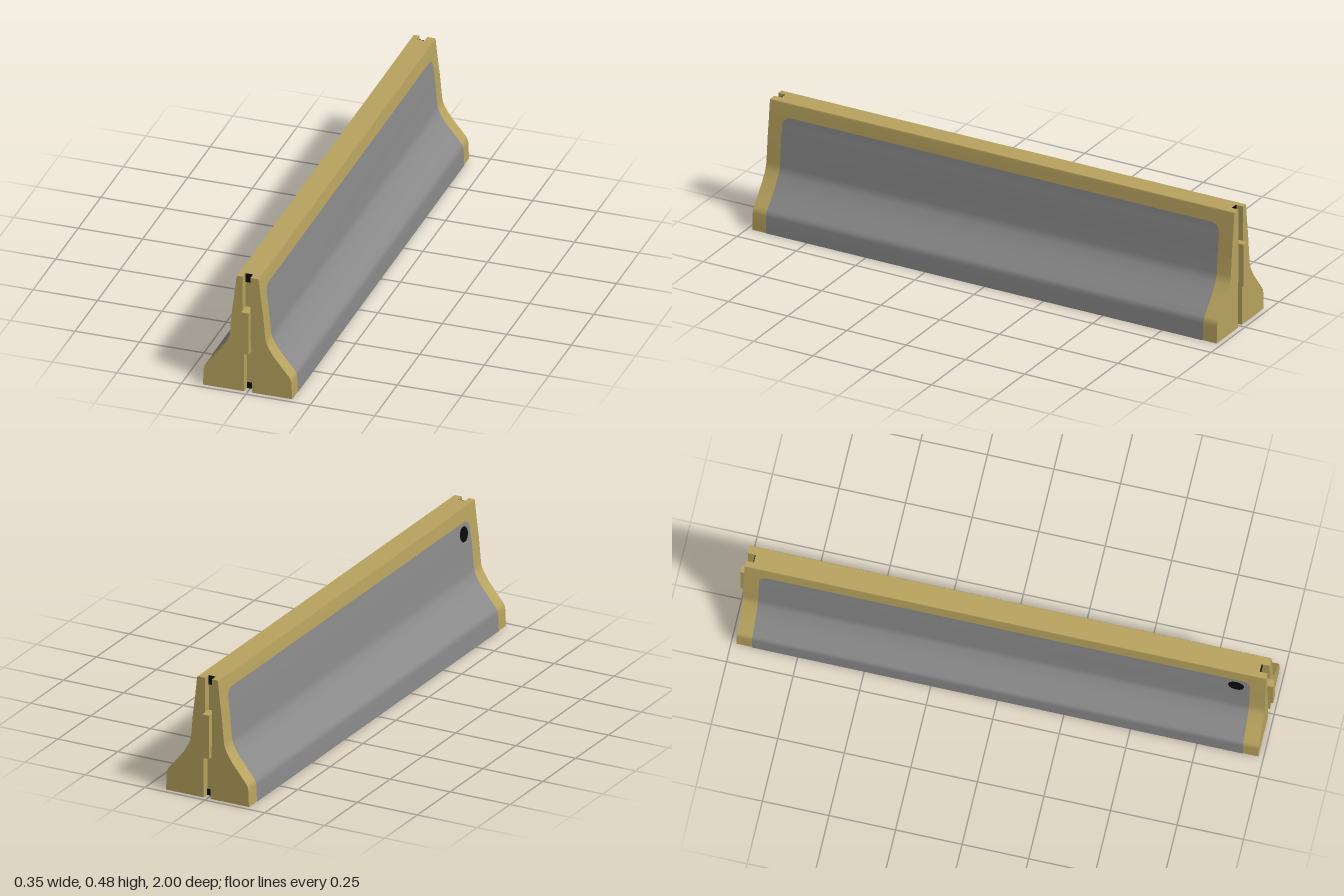
import * as THREE from 'three';

const concrete = new THREE.MeshStandardMaterial({ color: 0xb8a35e });
concrete.name = 'sand concrete';
const grey = new THREE.MeshStandardMaterial({ color: 0x8a8a8a });
grey.name = 'grey face';
const black = new THREE.MeshStandardMaterial({ color: 0x0a0a0a });
black.name = 'black underside';

const END = 0.98;      // half length of the body
const SLOT = 0.015;    // half width of the end slots
const SLOT_Z = 0.95;   // where the slots stop

// half width and slot centre at each height
const PROFILE = [
  [0, 0.173, 0.002], [0.066, 0.17, 0.002], [0.08, 0.167, 0.002], [0.09, 0.161, 0.002],
  [0.125, 0.132, 0.002], [0.165, 0.1, 0.001], [0.198, 0.08, -0.002], [0.212, 0.074, -0.003],
  [0.23, 0.069, -0.003], [0.33, 0.06, -0.004], [0.4, 0.051, -0.004], [0.47, 0.0435, -0.004],
  [0.476, 0.041, -0.004],
];

function halfWidth(y) {
  for (let i = 1; i < PROFILE.length; i++) {
    const [y0, w0] = PROFILE[i - 1], [y1, w1] = PROFILE[i];
    if (y <= y1) return w0 + (w1 - w0) * (y - y0) / (y1 - y0);
  }
  return PROFILE[PROFILE.length - 1][1];
}

// plan outline at one height
function outline([, w, c]) {
  const a = c - SLOT, b = c + SLOT;
  return [
    [w, END], [w, -END], [b, -END], [b, -SLOT_Z], [a, -SLOT_Z], [a, -END],
    [-w, -END], [-w, END], [a, END], [a, SLOT_Z], [b, SLOT_Z], [b, END],
  ];
}

// strip rising through pairs of points, smooth along its height
function strip(pairs) {
  const index = [];
  for (let i = 0; i < pairs.length - 1; i++) {
    const k = i * 2;
    index.push(k, k + 1, k + 3, k, k + 3, k + 2);
  }
  const g = new THREE.BufferGeometry();
  g.setAttribute('position', new THREE.Float32BufferAttribute(pairs.flat(2), 3));
  g.setIndex(index);
  g.computeVertexNormals();
  return g;
}

function add(parent, name, geometry, material) {
  const mesh = new THREE.Mesh(geometry, material);
  mesh.name = name;
  parent.add(mesh);
  return mesh;
}

function cap(row, up) {
  const pts = outline(row).map(([x, z]) => new THREE.Vector2(x, up ? -z : z));
  return new THREE.ShapeGeometry(new THREE.Shape(pts))
    .rotateX(up ? -Math.PI / 2 : Math.PI / 2).translate(0, row[0], 0);
}

export function createModel() {
  const model = new THREE.Group();
  model.name = 'roadBarrier';

  // body walls, one strip for each edge of the plan
  const body = new THREE.Group();
  body.name = 'body';
  model.add(body);
  const rings = PROFILE.map(outline);
  for (let j = 0; j < rings[0].length; j++) {
    const k = (j + 1) % rings[0].length;
    const pairs = rings.map((r, i) => [
      [r[j][0], PROFILE[i][0], r[j][1]], [r[k][0], PROFILE[i][0], r[k][1]],
    ]);
    add(body, 'bodyWall', strip(pairs), concrete);
  }
  add(body, 'topFace', cap(PROFILE[PROFILE.length - 1], true), concrete);
  add(body, 'underside', cap(PROFILE[0], false), black);

  // grey side panels with rounded upper corners
  const TOP = 0.422, R = 0.035, Z = 0.922;
  const heights = PROFILE.map((p) => p[0]).filter((y) => y < TOP - R);
  for (let i = 0; i <= 8; i++) heights.push(TOP - R + R * Math.sin(i * Math.PI / 16));
  heights.push(0.4);
  heights.sort((a, b) => a - b);
  const panel = strip(heights.map((y) => {
    const d = Math.max(0, (y - TOP + R) / R);
    const z = Z - R + R * Math.sqrt(Math.max(0, 1 - d * d));
    const x = halfWidth(y) + 0.002;
    return [[x, y, z], [x, y, -z]];
  }));
  add(model, 'leftPanel', panel, grey);
  add(model, 'rightPanel', panel, grey).rotation.y = Math.PI;

  // connecting keys and dark ends of the slots
  for (const s of [1, -1]) {
    const key = add(model, 'connectingKey', new THREE.BoxGeometry(0.029, 0.172, 0.05), concrete);
    key.position.set(-0.003, 0.252, s * 0.975);
    const upper = add(model, 'slotUpperPatch', new THREE.BoxGeometry(0.028, 0.035, 0.004), black);
    upper.position.set(-0.004, 0.458, s * (SLOT_Z + 0.001));
    const lower = add(model, 'slotLowerPatch', new THREE.BoxGeometry(0.028, 0.024, 0.004), black);
    lower.position.set(0.002, 0.0125, s * (SLOT_Z + 0.001));
  }

  // dark round mark on the right face
  const mark = add(model, 'roundMark', new THREE.CircleGeometry(0.03, 20), black);
  mark.position.set(-halfWidth(0.38) - 0.004, 0.38, 0.87);
  mark.rotation.set(0, -Math.PI / 2, 0);
  mark.rotateX(-Math.atan2(halfWidth(0.34) - halfWidth(0.39), 0.05));

  return model;
}
